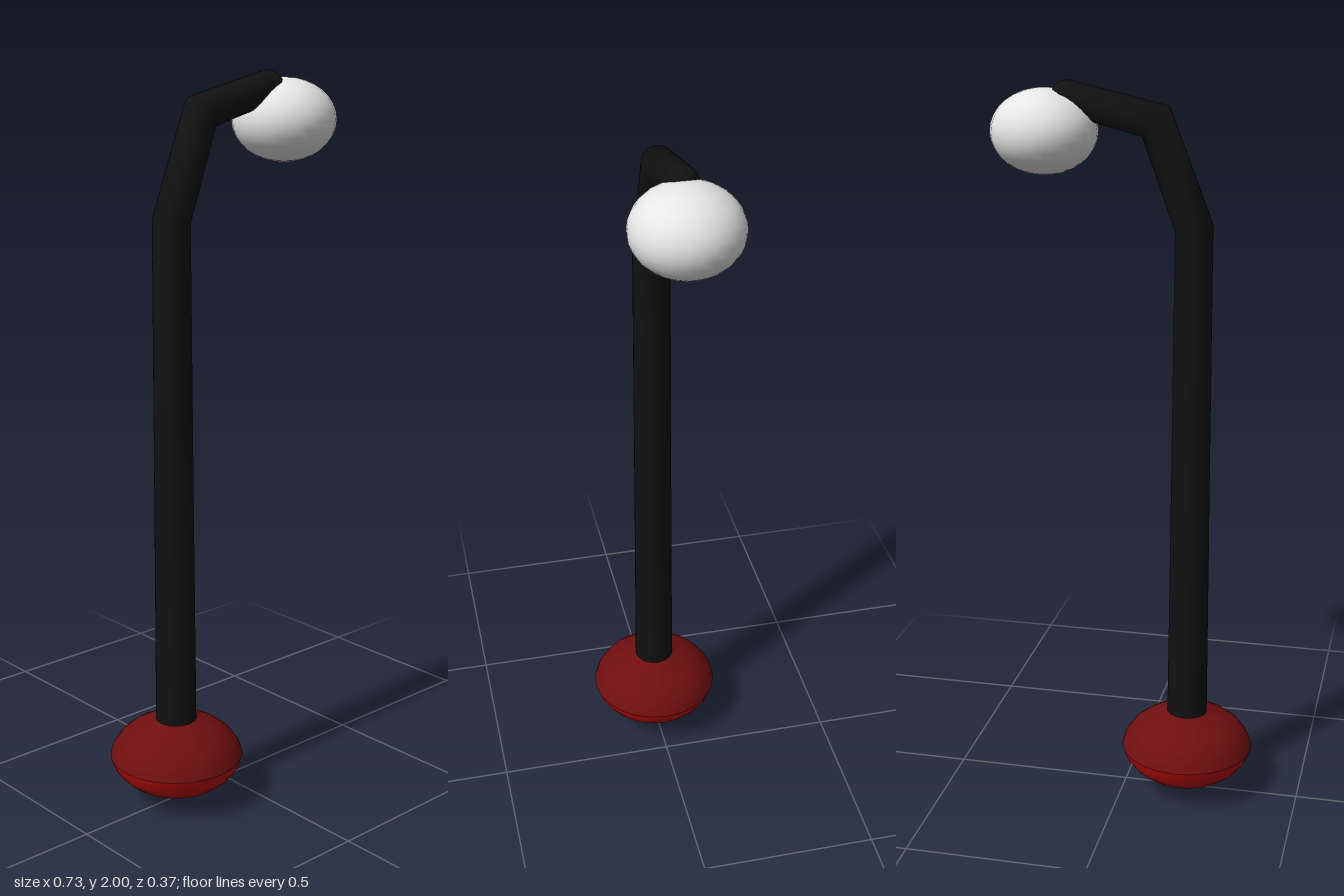
import * as THREE from 'three';

const mat = (name, color, side = THREE.FrontSide) => {
  const m = new THREE.MeshStandardMaterial({ color, side });
  m.name = name;
  return m;
};

// Tapered round tube in the XY plane; each ring lies in the mitre plane of its bend.
// stations: [x, y, radius]
function mitredTube(stations, sides) {
  const pts = stations.map(([x, y]) => new THREE.Vector2(x, y));
  const pos = [], idx = [];
  pts.forEach((p, i) => {
    const a = p.clone().sub(pts[Math.max(i - 1, 0)]).normalize();
    const b = pts[Math.min(i + 1, pts.length - 1)].clone().sub(p).normalize();
    const t = a.clone().add(b).normalize();
    const stretch = 1 / Math.max(t.dot(b.lengthSq() ? b : a), 0.5);
    const r = stations[i][2];
    for (let j = 0; j < sides; j++) {
      const u = (j / sides) * Math.PI * 2;
      const n = Math.cos(u) * r * stretch;
      pos.push(p.x - t.y * n, p.y + t.x * n, Math.sin(u) * r);
    }
  });
  for (let i = 0; i < pts.length - 1; i++) {
    for (let j = 0; j < sides; j++) {
      const k = (j + 1) % sides;
      const a = i * sides + j, b = i * sides + k, c = a + sides, d = b + sides;
      idx.push(a, c, b, b, c, d);
    }
  }
  const g = new THREE.BufferGeometry();
  g.setAttribute('position', new THREE.Float32BufferAttribute(pos, 3));
  g.setIndex(idx);
  g.computeVertexNormals();
  return g;
}

export function createModel() {
  const group = new THREE.Group();
  const black = mat('black metal', 0x111111, THREE.DoubleSide);
  const darkRed = mat('dark red', 0x700f10);
  const red = mat('bright red', 0xbb0c0c);
  const white = mat('lamp white', 0xe6e6e6);
  const add = (name, geo, material, x = 0, y = 0) => {
    const m = new THREE.Mesh(geo, material);
    m.name = name;
    m.position.set(x, y, 0);
    group.add(m);
    return m;
  };

  // Base: bulging disc with a rounded nub, mirrored about its equator
  const poleX = -0.179, mid = 0.136;
  const lower = [
    [0, 0], [0.02, 0.005], [0.04, 0.018], [0.058, 0.03], [0.095, 0.042],
    [0.13, 0.061], [0.158, 0.084], [0.177, 0.11], [0.186, mid],
  ].map(([r, y]) => new THREE.Vector2(r, y));
  const upper = lower.map((p) => new THREE.Vector2(p.x, 2 * mid - p.y)).reverse();
  add('lowerBase', new THREE.LatheGeometry(lower, 24), red, poleX);
  add('upperBase', new THREE.LatheGeometry(upper, 24), darkRed, poleX);

  // Pole and bent arm
  add('poleAndArm', mitredTube([
    [poleX, 0.15, 0.057],
    [-0.18, 0.9, 0.053],
    [-0.181, 1.63, 0.05],
    [-0.078, 1.9, 0.047],
    [0.155, 1.956, 0.044],
  ], 24), black);
  add('armTip', new THREE.SphereGeometry(0.044, 20, 14), black, 0.155, 1.956);

  // Flattened globe lamp
  add('lampGlobe', new THREE.SphereGeometry(0.142, 24, 16), white, 0.218, 1.868)
    .scale.set(1, 0.79, 1);

  return group;
}
